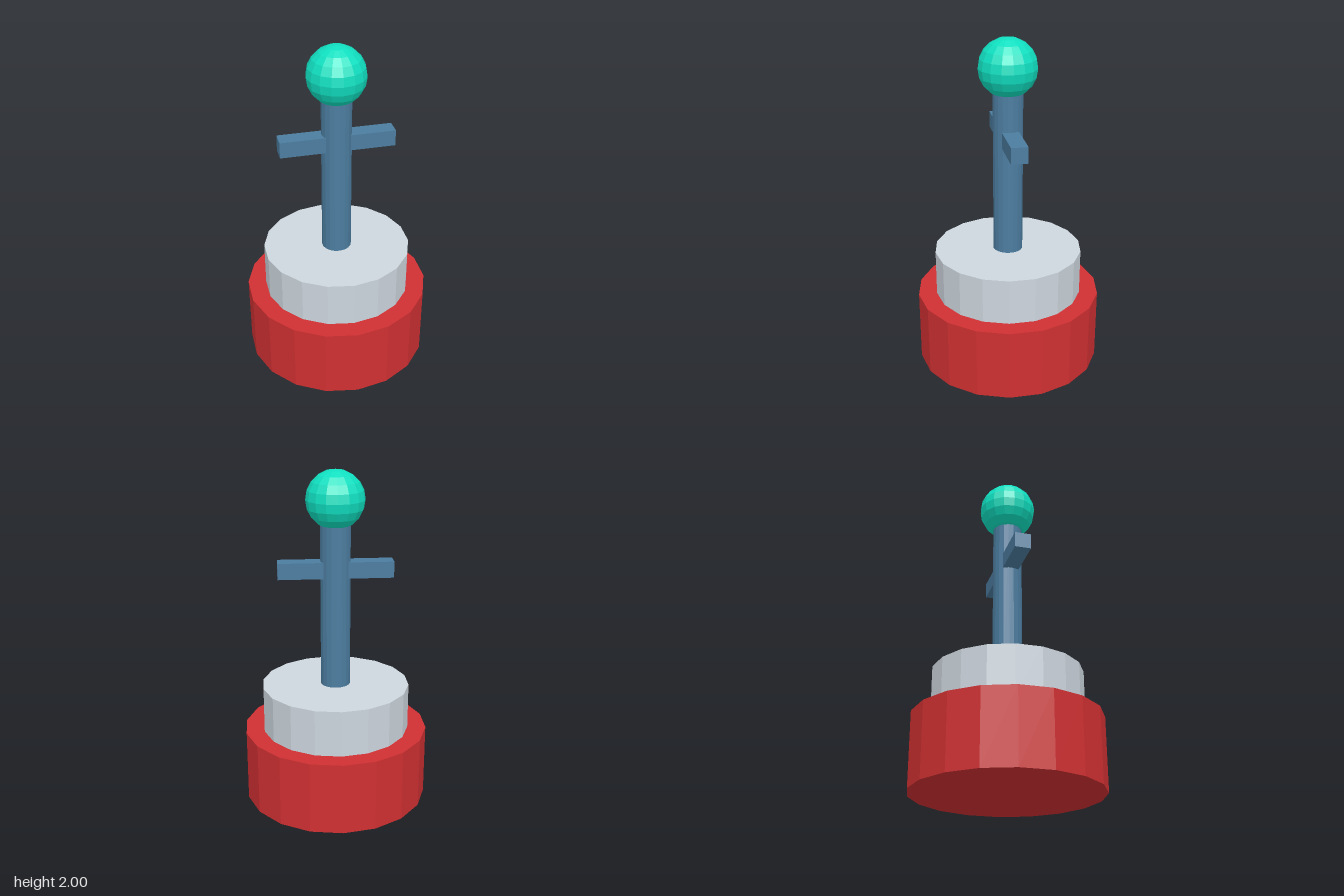
import * as THREE from 'three';

const material = (name, color) => {
  const m = new THREE.MeshStandardMaterial({ color, flatShading: true });
  m.name = name;
  return m;
};

export function createModel() {
  const group = new THREE.Group();
  group.name = 'leverOnPedestal';

  const red = material('red', 0xd03032);
  const grey = material('light grey', 0xcdd6de);
  const blue = material('steel blue', 0x4c7da0);
  const teal = material('teal', 0x10dfc0);

  const add = (name, geometry, mat, y) => {
    const mesh = new THREE.Mesh(geometry, mat);
    mesh.name = name;
    mesh.position.y = y;
    group.add(mesh);
  };
  // Upright faceted cylinder between two heights
  const drum = (name, radius, y0, y1, mat) =>
    add(name, new THREE.CylinderGeometry(radius, radius, y1 - y0, 18), mat, (y0 + y1) / 2);

  // Stepped pedestal
  drum('base', 0.555, 0, 0.435, red);
  drum('collar', 0.444, 0.435, 0.712, grey);

  // Shaft with its crossbar
  drum('shaft', 0.0885, 0.712, 1.69, blue);
  add('crossbar', new THREE.BoxGeometry(0.676, 0.096, 0.098), blue, 1.424);

  // Ball knob
  add('knob', new THREE.SphereGeometry(0.172, 16, 10), teal, 1.828);

  return group;
}
